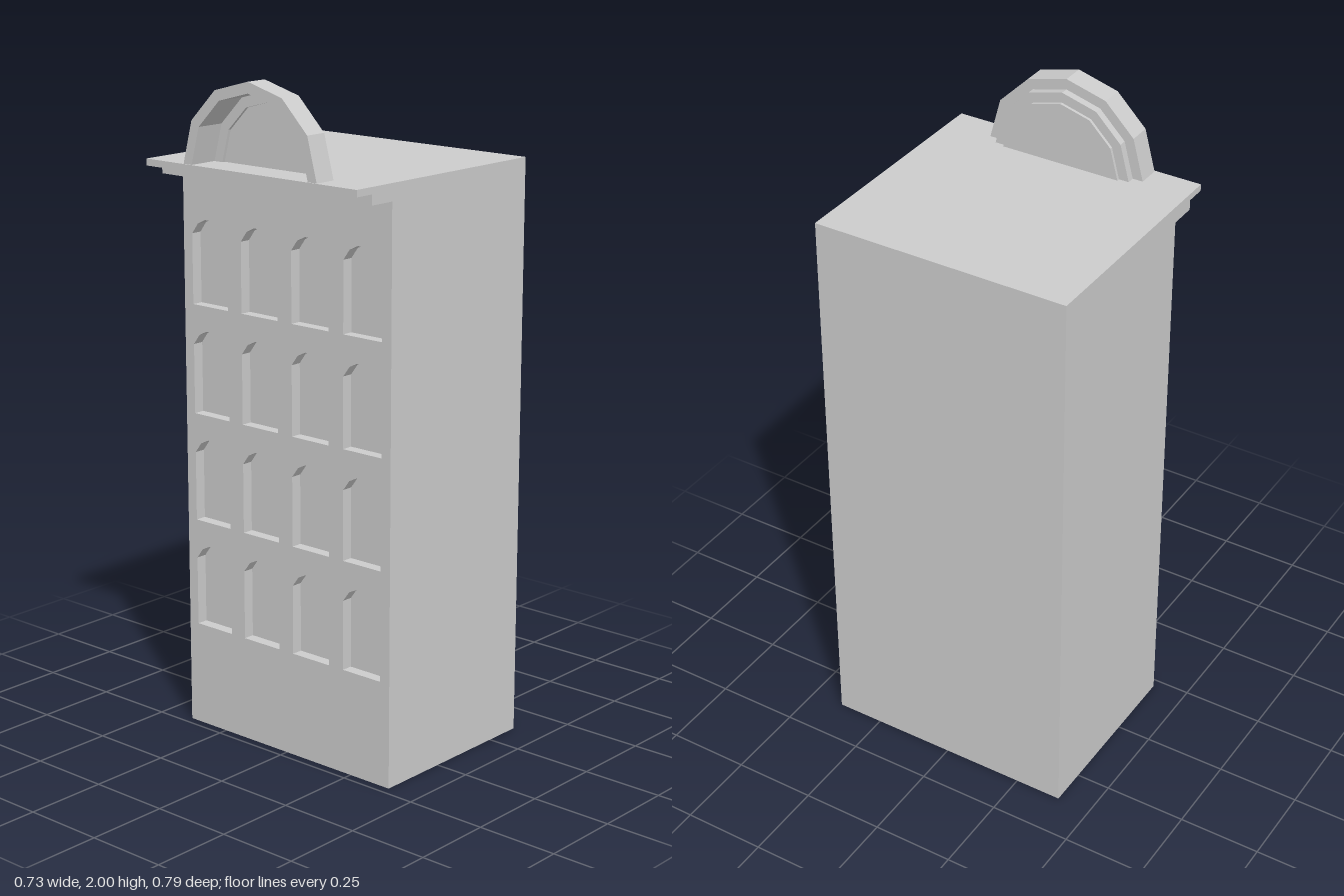
import * as THREE from 'three';

const material = new THREE.MeshStandardMaterial({ color: 0xcccccc, flatShading: true, side: THREE.DoubleSide });

// Main dimensions
const HALF_Z = 0.395, FACE_X = -0.222, END_X = 0.367, ROOF_Y = 1.75;

const vectors = (pts) => pts.map(([x, y]) => new THREE.Vector2(x, y));

// Open surface: a path in XY swept along z from d0 to d1
function strip(path, d0, d1) {
  const pos = [];
  for (let i = 0; i < path.length - 1; i++) {
    const [ax, ay] = path[i], [bx, by] = path[i + 1];
    pos.push(ax, ay, d0, ax, ay, d1, bx, by, d1, ax, ay, d0, bx, by, d1, bx, by, d0);
  }
  const g = new THREE.BufferGeometry();
  g.setAttribute('position', new THREE.Float32BufferAttribute(pos, 3));
  g.computeVertexNormals();
  return g;
}

// Flat panel, optionally pierced by holes
function panel(outline, holes = []) {
  const shape = new THREE.Shape(vectors(outline));
  holes.forEach((h) => shape.holes.push(new THREE.Path(vectors(h))));
  return new THREE.ShapeGeometry(shape);
}

function add(parent, name, geometry, z = 0) {
  const mesh = new THREE.Mesh(geometry, material);
  mesh.name = name;
  mesh.position.z = z;
  parent.add(mesh);
  return mesh;
}

// Half-round outline standing on the roof, six facets
function halfRound(r) {
  return Array.from({ length: 7 }, (_, i) => {
    const a = (i * Math.PI) / 6;
    return [r * Math.cos(a), ROOF_Y + r * Math.sin(a)];
  });
}

// Window outline with a shallow faceted arch
function windowOutline(cx, sill) {
  return [[-0.07, 0], [0.07, 0], [0.07, 0.21], [0.047, 0.241], [0.018, 0.255],
    [-0.018, 0.255], [-0.047, 0.241], [-0.07, 0.21]].map(([x, y]) => [cx + x, sill + y]);
}

export function createModel() {
  const model = new THREE.Group();
  model.name = 'building';

  // Hollow body: rear wall, roof and stepped cornice in one sweep, open below
  const profile = [[END_X, 0], [END_X, ROOF_Y], [-0.367, ROOF_Y], [-0.367, 1.73],
    [-0.305, 1.73], [-0.305, 1.7], [FACE_X, 1.7]];
  add(model, 'rearWallRoofAndCornice', strip(profile, -HALF_Z, HALF_Z));
  for (const s of [-1, 1]) {
    add(model, s > 0 ? 'frontSideWall' : 'backSideWall', panel([...profile, [FACE_X, 0]]), s * HALF_Z);
  }

  // Facade group: local x runs along the model's z, local z points to -x
  const facade = new THREE.Group();
  facade.name = 'facade';
  facade.rotation.y = -Math.PI / 2;
  model.add(facade);

  // Four by four sunken windows
  const windows = [];
  for (let row = 0; row < 4; row++) {
    for (let col = 0; col < 4; col++) {
      windows.push(windowOutline((col - 1.5) * 0.194, 0.318 + row * 0.33));
    }
  }
  const wall = [[-HALF_Z, 0], [HALF_Z, 0], [HALF_Z, 1.7], [-HALF_Z, 1.7]];
  const front = -FACE_X, depth = 0.034;
  add(facade, 'facadeWall', panel(wall, windows), front);
  windows.forEach((w) => {
    add(facade, 'windowReveal', strip([...w, w[0]], front - depth, front));
    add(facade, 'windowPane', panel(w), front - depth);
  });

  // Half-round pediment: a rim with a recess stepping back twice
  const pediment = new THREE.Group();
  pediment.name = 'pediment';
  facade.add(pediment);
  const outer = halfRound(0.25), middle = halfRound(0.218), inner = halfRound(0.187);
  const ring = (a, b) => panel([...a, ...[...b].reverse()]);
  add(pediment, 'rimFront', ring(outer, middle), 0.363);
  add(pediment, 'rimEdge', strip(outer, 0.295, 0.363));
  add(pediment, 'rimBack', ring(outer, middle), 0.295);
  add(pediment, 'recessEdge', strip(middle, 0.272, 0.363));
  add(pediment, 'recessStep', ring(middle, inner), 0.272);
  add(pediment, 'paneEdge', strip(inner, 0.263, 0.272));
  add(pediment, 'pedimentPane', panel(inner), 0.263);

  return model;
}
